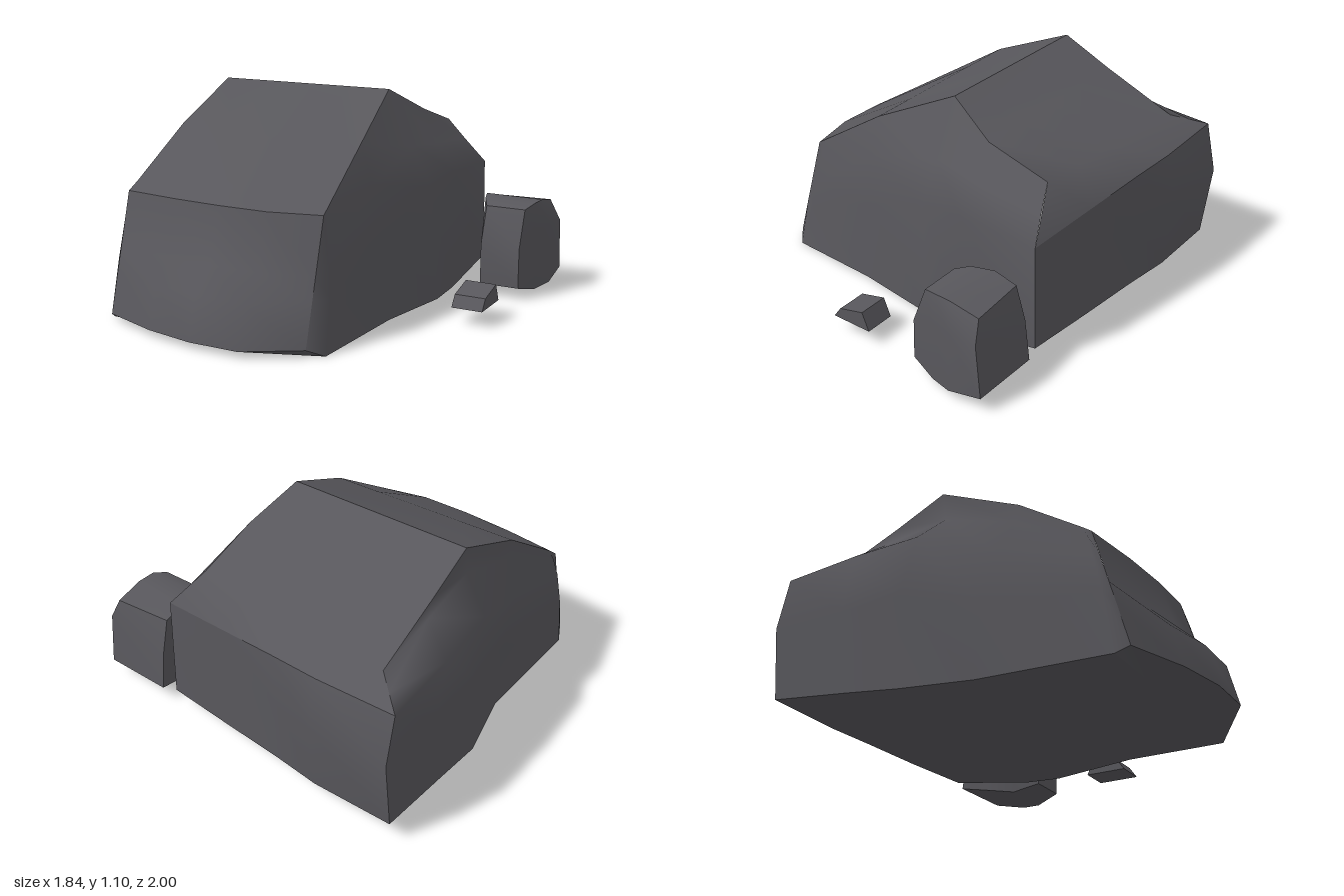
import * as THREE from 'three';
import { mergeGeometries } from 'three/addons/utils/BufferGeometryUtils.js';

// Smooth surface over a grid of points: rows run top to bottom, columns left to right, seen from outside
function patch(rows) {
  const w = rows[0].length, index = [];
  for (let i = 0; i < rows.length - 1; i++) {
    for (let j = 0; j < w - 1; j++) {
      const a = i * w + j, b = a + w;
      index.push(a, b, b + 1, a, b + 1, a + 1);
    }
  }
  const g = new THREE.BufferGeometry();
  g.setAttribute('position', new THREE.Float32BufferAttribute(rows.flat(2), 3));
  g.setIndex(index);
  g.computeVertexNormals();
  return g;
}

const transpose = (cols) => cols[0].map((_, i) => cols.map((c) => c[i]));
const BOW = [0, 0.68, 1, 1, 0];
const STEP = [0, 0.28, 0.52, 0.76, 1];

// Five points from a to b, bulging in z
const row = (a, b, bow = 0) => STEP.map((t, k) =>
  [0, 1, 2].map((c) => a[c] + (b[c] - a[c]) * t + (c === 2 ? bow * BOW[k] : 0)));

const last = (list) => list[list.length - 1];

function boulderGeometry() {
  // Right (+x) flank, columns front to back, each from roof edge to ground
  const right = [
    [[0.29, 0.63, 0.67], [0.29, 0.36, 0.748], [0.29, 0.25, 0.78], [0.29, 0.04, 0.84]],
    [[0.288, 0.656, 0.63], [0.32, 0.4, 0.68], [0.34, 0.25, 0.7], [0.36, 0.005, 0.78]],
    [[0.27, 0.89, 0.27], [0.34, 0.7, 0.27], [0.385, 0.45, 0.25], [0.42, 0.03, 0.25]],
    [[0.21, 1.1, -0.16], [0.35, 0.82, -0.16], [0.45, 0.62, -0.15], [0.48, 0.02, -0.2]],
    [[0.29, 0.97, -0.42], [0.38, 0.8, -0.41], [0.48, 0.655, -0.4], [0.48, 0.03, -0.4]],
    [[0.29, 0.87, -0.75], [0.38, 0.76, -0.78], [0.48, 0.64, -0.82], [0.48, 0.1, -0.84]],
  ];
  // Left (-x) flank, columns front to back
  const left = [
    [[-0.81, 0.63, 0.67], [-0.81, 0.5, 0.707], [-0.81, 0.36, 0.748], [-0.81, 0.25, 0.78], [-0.81, 0.04, 0.84]],
    [[-0.795, 0.67, 0.62], [-0.81, 0.61, 0.65], [-0.83, 0.5, 0.68], [-0.84, 0.3, 0.73], [-0.84, 0.005, 0.78]],
    [[-0.76, 0.91, 0.27], [-0.77, 0.82, 0.25], [-0.84, 0.64, 0.2], [-0.84, 0.4, 0.12], [-0.84, 0.03, 0.1]],
    [[-0.76, 1.1, -0.16], [-0.76, 0.95, -0.14], [-0.9, 0.8, -0.2], [-0.92, 0.5, -0.27], [-0.92, 0.03, -0.25]],
    [[-0.76, 0.98, -0.42], [-0.77, 0.9, -0.47], [-0.92, 0.78, -0.55], [-0.92, 0.5, -0.6], [-0.92, 0.07, -0.55]],
    [[-0.76, 0.82, -0.8], [-0.84, 0.785, -0.87], [-0.92, 0.75, -0.94], [-0.92, 0.5, -1], [-0.92, 0.12, -0.96]],
  ];
  const backEdge = [[-0.92, 0.75, -0.94], [-0.5, 0.74, -0.94], [-0.24, 0.73, -0.92], [0.1, 0.69, -0.875], [0.48, 0.64, -0.82]];
  const backMid = [[-0.92, 0.5, -1], [-0.5, 0.5, -1], [-0.24, 0.47, -0.92], [0.1, 0.43, -0.88], [0.48, 0.38, -0.83]];
  const backFoot = [[-0.92, 0.12, -0.96], [-0.5, 0.12, -0.96], [-0.24, 0.11, -0.92], [0.1, 0.1, -0.88], [0.48, 0.1, -0.84]];
  const roof = right.map((c, i) => row(left[i][0], c[0], i === 0 ? 0.06 : i === 1 ? 0.05 : 0));
  const frontBow = [0.06, 0.065, 0.165, 0.16];
  const front = right[0].map((p, i) => row([-0.81, p[1], p[2]], p, frontBow[i]));
  const base = right.slice(1, -1).map((c, i) => row(last(left[i + 1]), last(c)));
  return mergeGeometries([
    patch(front),
    patch(roof.slice(0, 4).reverse()),
    patch([backEdge, ...roof.slice(3).reverse()]),
    patch([backEdge, backMid, backFoot].map((r) => [...r].reverse())),
    patch(transpose(right)),
    patch(transpose([...left].reverse())),
    patch([last(front), base[0]]),
    patch([...base, backFoot]),
  ]);
}

function mediumRockGeometry() {
  const right = [
    [[0.84, 0.475, -0.48], [0.84, 0.28, -0.41], [0.84, 0.07, -0.41]],
    [[0.87, 0.5, -0.55], [0.885, 0.35, -0.55], [0.88, 0.035, -0.55]],
    [[0.875, 0.5, -0.65], [0.92, 0.37, -0.67], [0.92, 0.05, -0.67]],
    [[0.87, 0.47, -0.8], [0.92, 0.36, -0.82], [0.92, 0.09, -0.85]],
  ];
  const left = [
    [[0.63, 0.475, -0.48], [0.63, 0.28, -0.41], [0.63, 0.07, -0.41]],
    [[0.595, 0.5, -0.55], [0.59, 0.3, -0.55], [0.6, 0.035, -0.55]],
    [[0.56, 0.5, -0.66], [0.555, 0.3, -0.67], [0.555, 0.05, -0.67]],
    [[0.56, 0.47, -0.78], [0.555, 0.3, -0.83], [0.555, 0.09, -0.86]],
  ];
  const across = (k) => right.map((c, i) => [left[i][k], c[k]]);
  return mergeGeometries([
    patch([0, 1, 2].map((k) => [left[0][k], right[0][k]])),
    patch([0, 1, 2].map((k) => [right[3][k], left[3][k]])),
    patch(across(0).reverse()),
    patch(across(2)),
    patch(transpose(right)),
    patch(transpose([...left].reverse())),
  ]);
}

// Wedge-shaped pebble: a side profile extruded along x
function pebbleGeometry() {
  const profile = [[-0.09, 0.088], [0.13, 0.088], [0.09, 0.18], [-0.05, 0.145]];
  const shape = new THREE.Shape(profile.map(([u, v]) => new THREE.Vector2(u, v)));
  const g = new THREE.ExtrudeGeometry(shape, { depth: 0.16, bevelEnabled: false });
  return g.rotateY(Math.PI / 2).translate(0.68, 0, 0);
}

export function createModel() {
  const stone = new THREE.MeshStandardMaterial({ color: 0x58575c });
  stone.name = 'dark grey stone';
  const group = new THREE.Group();
  group.name = 'rocks';
  const parts = { boulder: boulderGeometry(), mediumRock: mediumRockGeometry(), pebble: pebbleGeometry() };
  for (const [name, geometry] of Object.entries(parts)) {
    const mesh = new THREE.Mesh(geometry, stone);
    mesh.name = name;
    group.add(mesh);
  }
  return group;
}
